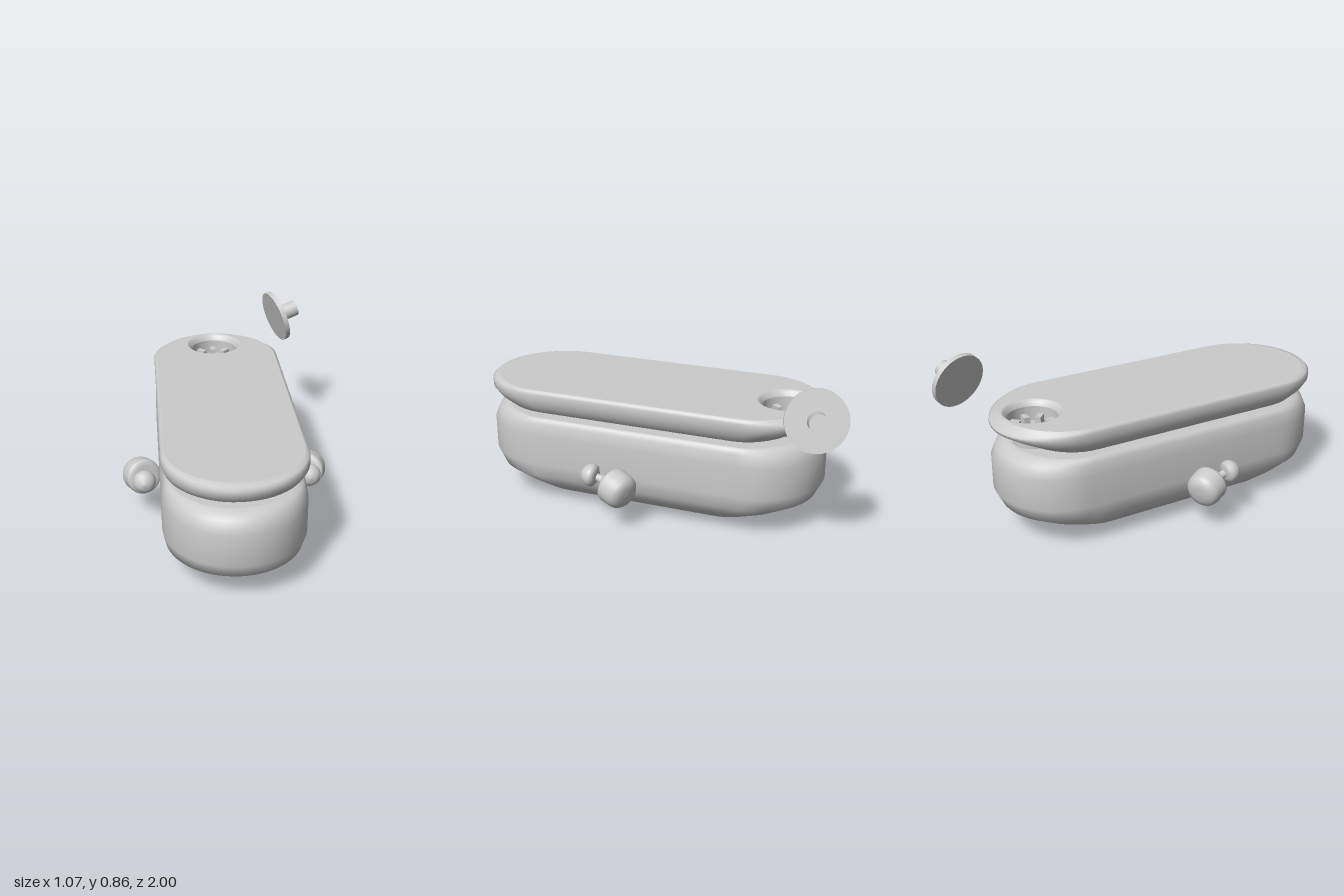
import * as THREE from 'three';

const HALF_WIDTH = 0.345, HALF_STRAIGHT = 0.57, MID_Z = 0.085;
const HOLE_Z = -0.625, HOLE_R = 0.15;
const material = new THREE.MeshStandardMaterial({ color: 0xcccccc });
const doubleMaterial = new THREE.MeshStandardMaterial({ color: 0xcccccc, side: THREE.DoubleSide });

function addMesh(parent, name, geometry, mat = material) {
  const mesh = new THREE.Mesh(geometry, mat);
  mesh.name = name;
  parent.add(mesh);
  return mesh;
}

// Pill-shaped plan, centred on the origin: two half circles joined by straight sides
function pillOutline() {
  const points = [], arc = 28, side = 8;
  for (const s of [1, -1]) {
    for (let i = 0; i <= arc; i++) {
      const a = (Math.PI * i) / arc;
      points.push([s * HALF_WIDTH * Math.cos(a), s * (HALF_STRAIGHT + HALF_WIDTH * Math.sin(a))]);
    }
    for (let i = 1; i < side; i++) {
      points.push([-s * HALF_WIDTH, s * HALF_STRAIGHT * (1 - (2 * i) / side)]);
    }
  }
  return points;
}
const outline = pillOutline();

// Stack scaled copies of the outline; a repeated row leaves a sharp edge
function loft(rows, bend = (y) => y) {
  const positions = [], index = [], n = outline.length;
  for (const [y, s] of rows) {
    for (const [x, z] of outline) {
      const pz = z * s + MID_Z;
      positions.push(x * s, bend(y, pz), pz);
    }
  }
  for (let r = 0; r < rows.length - 1; r++) {
    for (let i = 0; i < n; i++) {
      const a = r * n + i, b = r * n + ((i + 1) % n);
      index.push(a, a + n, b, b, a + n, b + n);
    }
  }
  const g = new THREE.BufferGeometry();
  g.setAttribute('position', new THREE.Float32BufferAttribute(positions, 3));
  g.setIndex(index);
  g.computeVertexNormals();
  return g;
}

const lathe = (points, segments = 40) =>
  new THREE.LatheGeometry(points.map(([r, y]) => new THREE.Vector2(r, y)), segments);

// Turn an object's own y axis towards a direction
function aim(object, position, direction) {
  object.position.set(...position);
  object.quaternion.setFromUnitVectors(
    new THREE.Vector3(0, 1, 0), new THREE.Vector3(...direction).normalize());
}

function makeHull() {
  return loft([
    [0.005, 0], [0.062, 0.725], [0.105, 0.845], [0.16, 0.96], [0.235, 1],
    [0.4, 1], [0.46, 0.97], [0.48, 0.935], [0.487, 0.9], [0.487, 0.9], [0.487, 0],
  ]);
}

function makeLid() {
  const lid = new THREE.Group();
  lid.name = 'lid';

  // Rim and underside, with the rear edge lifted and thinned
  const bend = (y, z) => {
    const t = Math.min(1, Math.max(0, (-0.45 - z) / 0.38));
    return y > 0.64 ? y : THREE.MathUtils.lerp(y, 0.585, 0.65 * t * t);
  };
  addMesh(lid, 'lidRim', loft([
    [0.495, 0], [0.495, 0.73], [0.495, 0.73], [0.518, 0.9], [0.555, 0.965],
    [0.592, 1], [0.625, 1], [0.638, 0.985], [0.645, 0.95],
  ], bend));

  // Flat deck with a round opening near the back
  const shape = new THREE.Shape(outline.map(([x, z]) =>
    new THREE.Vector2(x * 0.95, -(z * 0.95 + MID_Z))));
  const hole = new THREE.Path();
  hole.absarc(0, -HOLE_Z, HOLE_R, 0, Math.PI * 2, true);
  shape.holes.push(hole);
  const deck = new THREE.ShapeGeometry(shape, 24);
  deck.rotateX(-Math.PI / 2);
  addMesh(lid, 'lidDeck', deck).position.y = 0.645;
  return lid;
}

function makeSocket() {
  const socket = new THREE.Group();
  socket.name = 'socket';
  socket.position.z = HOLE_Z;

  // Bevelled well
  addMesh(socket, 'socketWall', lathe([
    [0.125, 0.53], [0.125, 0.615], [0.125, 0.615], [0.135, 0.635], [HOLE_R, 0.645],
  ], 48), doubleMaterial);
  addMesh(socket, 'socketFloor', new THREE.CylinderGeometry(0.126, 0.126, 0.015, 48)).position.y = 0.53;
  addMesh(socket, 'socketNeck', new THREE.CylinderGeometry(0.105, 0.105, 0.045, 40)).position.y = 0.505;

  // Ring of upright vanes
  for (let i = 0; i < 8; i++) {
    const a = (i * Math.PI) / 4;
    const vane = addMesh(socket, 'vane', new THREE.BoxGeometry(0.05, 0.045, 0.03));
    vane.position.set(0.093 * Math.cos(a), 0.558, 0.093 * Math.sin(a));
    vane.rotation.y = -a;
  }
  return socket;
}

function makeSideKnob(s) {
  const knob = new THREE.Group();
  knob.name = s > 0 ? 'leftKnob' : 'rightKnob';

  // Drum with a rounded back
  const drum = addMesh(knob, 'drum', lathe([
    [0, -0.066], [0.04, -0.064], [0.068, -0.056], [0.085, -0.038], [0.091, -0.015],
    [0.093, 0.045], [0.09, 0.056], [0.078, 0.064], [0.06, 0.066], [0, 0.066],
  ]));
  aim(drum, [s * 0.443, 0.222, 0.11], [-s * 0.4, 0.22, 0.9]);

  // Stem with a small collar
  const stem = addMesh(knob, 'stem', lathe([
    [0.035, -0.01], [0.022, 0.01], [0.018, 0.03], [0.03, 0.036], [0.03, 0.046],
    [0.02, 0.052], [0.02, 0.095],
  ], 24));
  aim(stem, [s * 0.42, 0.238, 0.165], [0, 0.3, 1]);

  // Mushroom cap
  const cap = addMesh(knob, 'cap', lathe([
    [0, -0.012], [0.035, -0.01], [0.053, 0], [0.059, 0.015], [0.056, 0.035],
    [0.045, 0.055], [0.026, 0.07], [0, 0.075],
  ], 32));
  aim(cap, [s * 0.423, 0.265, 0.247], [0, 0.12, 1]);
  return knob;
}

// Loose plug: thin disc with a short handle
function makePlug() {
  const plug = new THREE.Group();
  plug.name = 'plug';
  addMesh(plug, 'plugDisc', new THREE.CylinderGeometry(0.149, 0.149, 0.028, 64));
  addMesh(plug, 'plugHandle', new THREE.CylinderGeometry(0.046, 0.046, 0.12, 32)).position.y = 0.068;
  aim(plug, [0.391, 0.717, -0.856], [1, 0.29, -0.31]);
  return plug;
}

export function createModel() {
  const model = new THREE.Group();
  model.name = 'model';
  addMesh(model, 'hull', makeHull());
  model.add(makeLid(), makeSocket(), makeSideKnob(1), makeSideKnob(-1), makePlug());
  return model;
}
